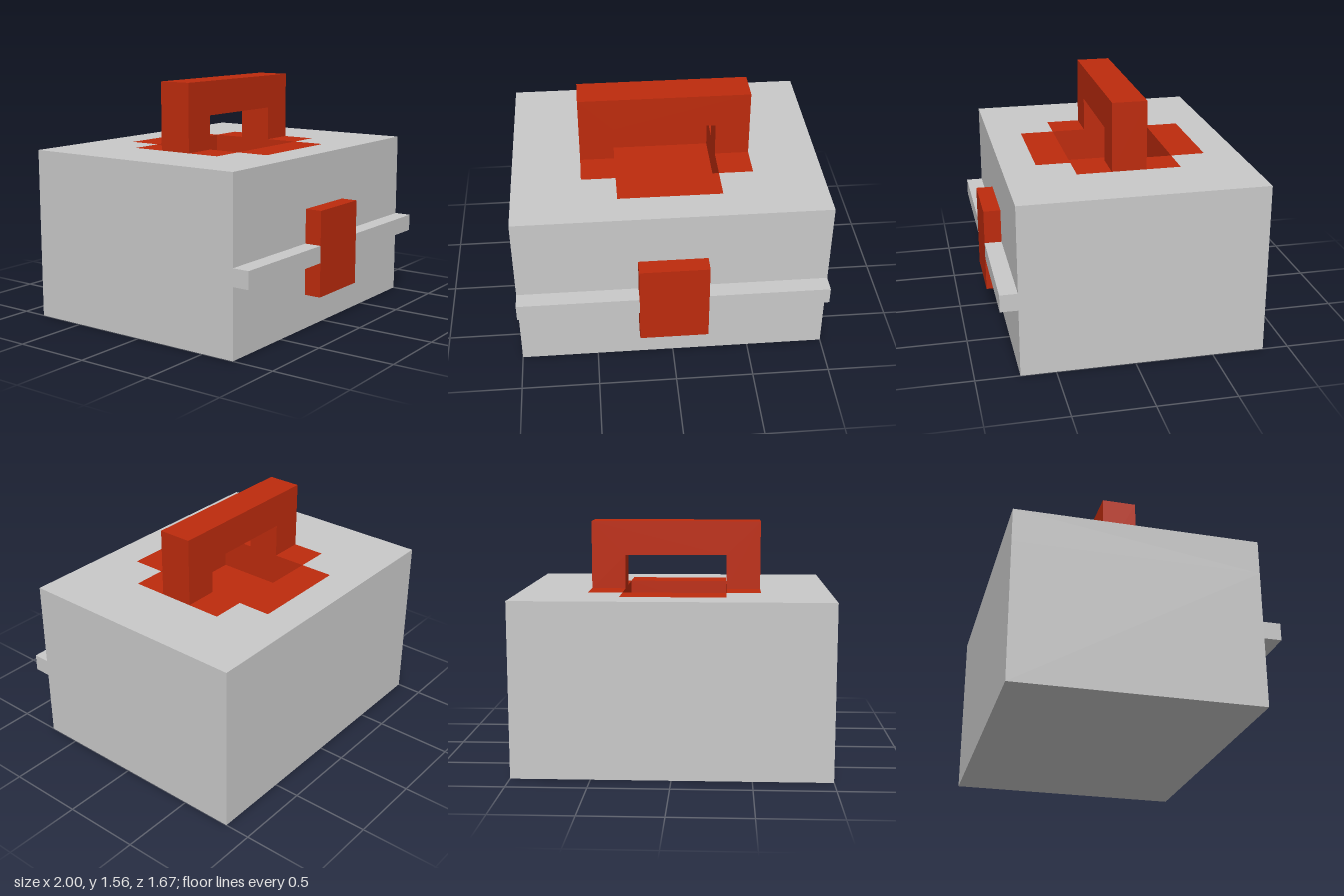
import * as THREE from 'three';

const U = 1 / 9; // the model sits on a regular grid of this size

const grey = new THREE.MeshStandardMaterial({ color: 0xc9c9c9 });
grey.name = 'light grey';
const red = new THREE.MeshStandardMaterial({ color: 0xbd2b0d });
red.name = 'red';

// Box given by its limits in grid units
function box(name, material, [x0, x1], [y0, y1], [z0, z1]) {
  const geometry = new THREE.BoxGeometry((x1 - x0) * U, (y1 - y0) * U, (z1 - z0) * U);
  const mesh = new THREE.Mesh(geometry, material);
  mesh.position.set((x0 + x1) / 2 * U, (y0 + y1) / 2 * U, (z0 + z1) / 2 * U);
  mesh.name = name;
  return mesh;
}

const scaled = (points) => points.map(([x, y]) => new THREE.Vector2(x * U, y * U));
const rectangle = (w, h) => [[-w, -h], [w, -h], [w, h], [-w, h]];

// Extruded outline with an optional hole, in grid units
function extrude(name, material, outline, hole, depth) {
  const shape = new THREE.Shape(scaled(outline));
  if (hole) shape.holes.push(new THREE.Path(scaled(hole)));
  const geometry = new THREE.ExtrudeGeometry(shape, { depth: depth * U, bevelEnabled: false });
  const mesh = new THREE.Mesh(geometry, material);
  mesh.name = name;
  return mesh;
}

export function createModel() {
  const model = new THREE.Group();
  model.name = 'toolbox';

  // Case: solid base, and an upper part cut out for the handle recess
  model.add(box('caseBase', grey, [-9, 9], [0, 8], [-7.5, 6.5]));
  const cross = [
    [-3, -5], [3, -5], [3, -3], [5, -3], [5, 3], [3, 3],
    [3, 5], [-3, 5], [-3, 3], [-5, 3], [-5, -3], [-3, -3],
  ];
  const top = extrude('caseTop', grey, rectangle(9, 7), cross, 2);
  const surround = extrude('recessSurround', red, cross, rectangle(3, 3), 2);
  for (const mesh of [top, surround]) {
    mesh.rotation.x = -Math.PI / 2;
    mesh.position.set(0, 8 * U, -0.5 * U);
    model.add(mesh);
  }
  model.add(box('recessFloor', red, [-3, 3], [8, 8.04], [-3.5, 2.5]));

  // Carrying handle
  const arch = [[-5, 10], [-3, 10], [-3, 12], [3, 12], [3, 10], [5, 10], [5, 14], [-5, 14]];
  const handle = extrude('handle', red, arch, null, 2);
  handle.position.z = -1.5 * U;
  model.add(handle);

  // Front rail on both sides of the latch
  model.add(box('leftRail', grey, [2, 9], [4, 5], [6.5, 7.5]));
  model.add(box('rightRail', grey, [-9, -2], [4, 5], [6.5, 7.5]));
  model.add(box('latch', red, [-2, 2], [2, 7], [6.5, 7.5]));

  return model;
}
